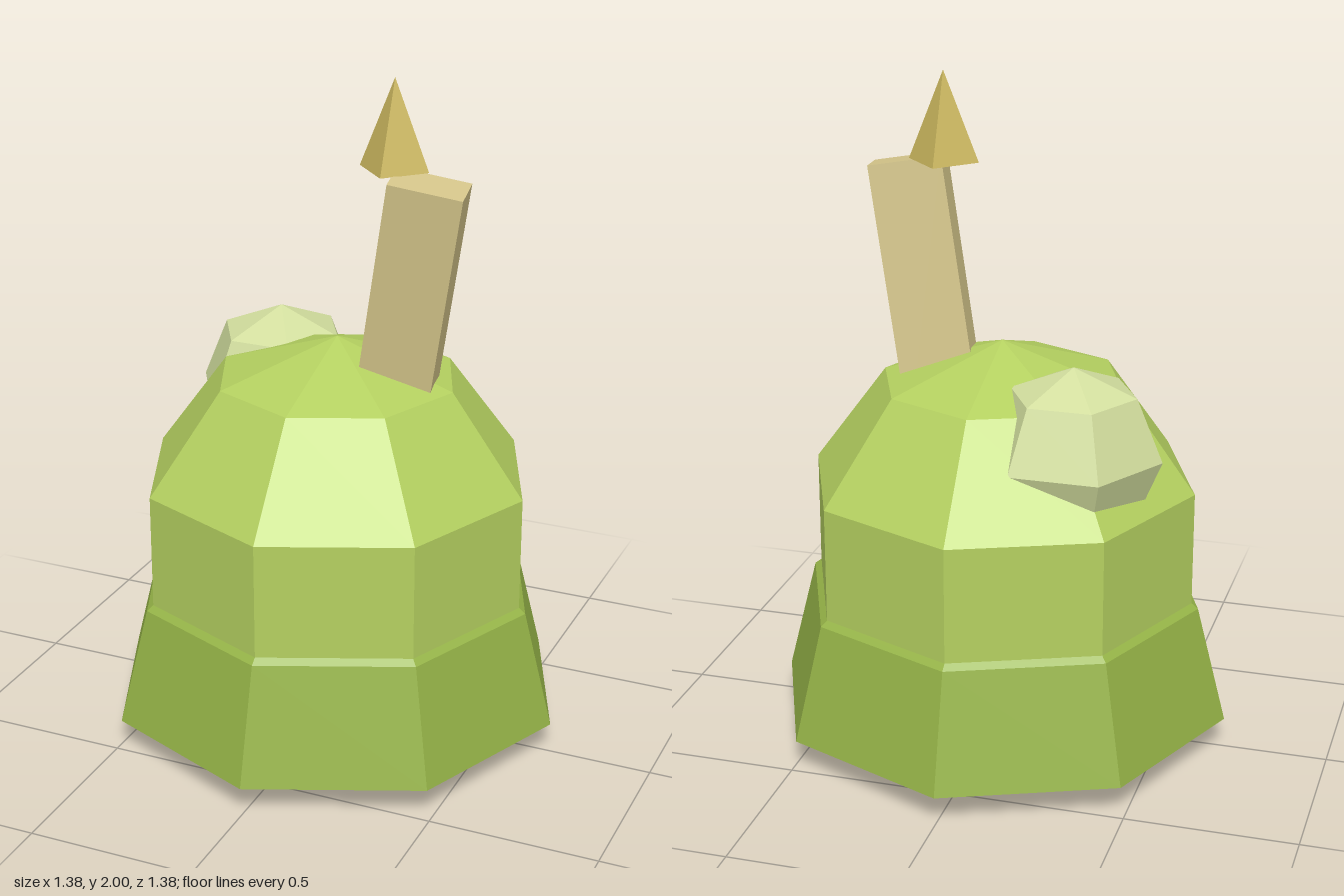
import * as THREE from 'three';

const mat = (color) => new THREE.MeshStandardMaterial({ color, flatShading: true, roughness: 0.9 });

function part(name, geometry, material, position = [0, 0, 0], rotation = [0, 0, 0]) {
  const mesh = new THREE.Mesh(geometry, material);
  mesh.name = name;
  mesh.position.set(...position);
  mesh.rotation.set(...rotation);
  return mesh;
}

// Eight-sided solid from [radius, height] pairs, bottom to top
const octagon = (profile) =>
  new THREE.LatheGeometry(profile.map(([r, y]) => new THREE.Vector2(r, y)), 8);

export function createModel() {
  const model = new THREE.Group();
  model.name = 'hut';

  // Faceted body: pointed underside, straight wall and domed top
  model.add(part('body', octagon([
    [0, 0], [0.36, 0.12], [0.58, 0.42], [0.58, 0.8], [0.36, 1.1], [0, 1.22],
  ]), mat(0xb4d060)));

  // Flared skirt with a closed floor and a narrow sloping lip
  model.add(part('skirt', octagon([
    [0, 0.09], [0.69, 0.09], [0.6, 0.44], [0.575, 0.46],
  ]), mat(0x95b347)));

  // Round lump at the back right shoulder
  model.add(part('bump', new THREE.SphereGeometry(0.26, 6, 4), mat(0xd2de9e), [-0.26, 0.96, -0.18]));

  // Leaning post, sunk into the dome
  model.add(part('post', new THREE.BoxGeometry(0.215, 0.8, 0.13), mat(0xd4c58a),
    [0.231, 1.333, 0.022], [0.11, 0.16, -0.175]));

  // Four-sided spike above the post
  model.add(part('spike', new THREE.ConeGeometry(0.104, 0.26, 4), mat(0xcbb75e), [0.173, 1.87, 0]));

  return model;
}
